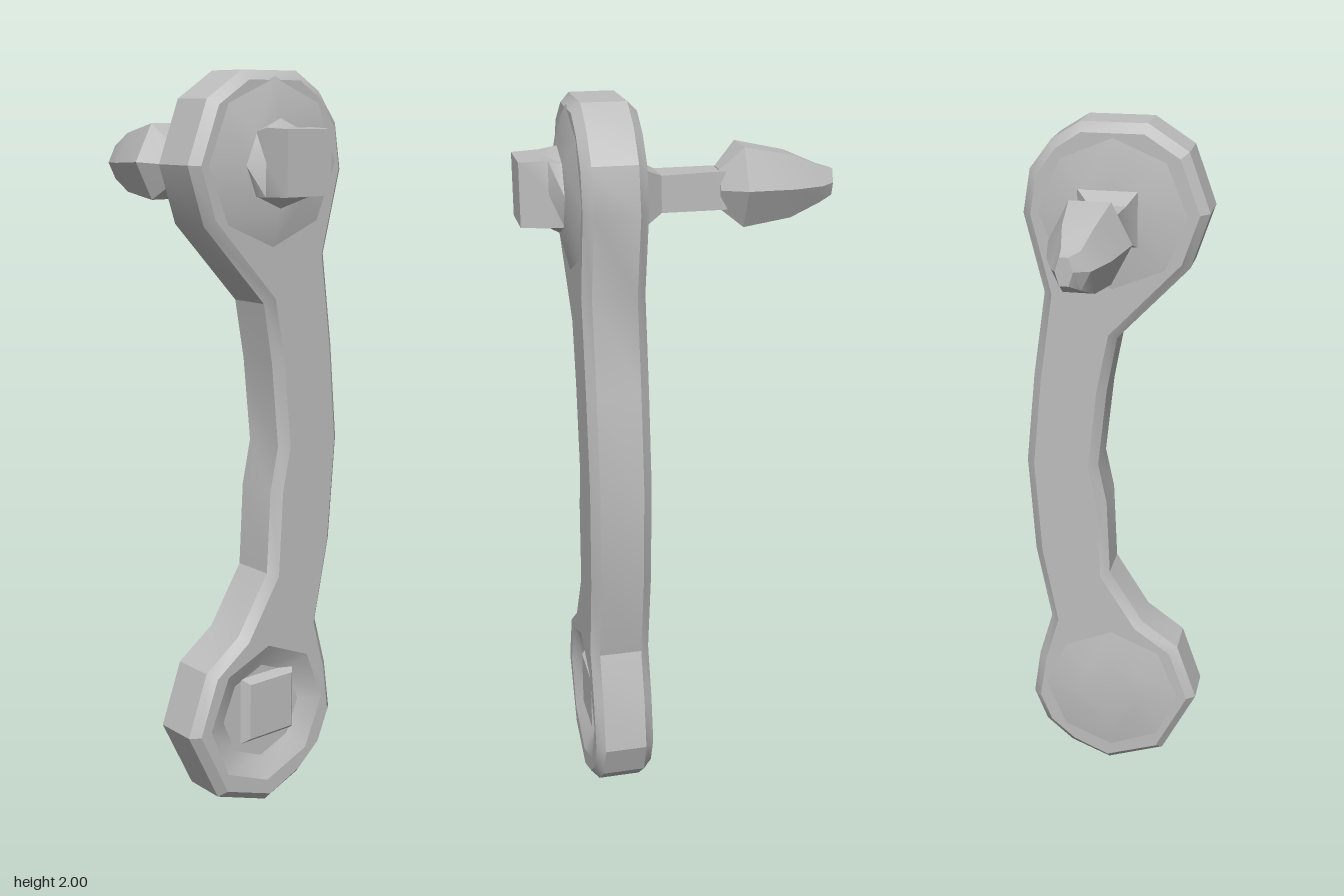
import * as THREE from 'three';
import { toCreasedNormals } from 'three/addons/utils/BufferGeometryUtils.js';

const grey = new THREE.MeshStandardMaterial({ color: 0xbdbdbd });
grey.name = 'grey metal';

// Arm silhouette, counter-clockwise seen from the front
const OUTLINE = [
  [0.01, 0], [0.13, 0.05], [0.21, 0.12], [0.25, 0.22], [0.23, 0.36], [0.19, 0.5], [0.235, 0.73],
  [0.255, 1.02], [0.23, 1.28], [0.195, 1.53], [0.25, 1.75], [0.23, 1.87], [0.17, 1.95], [0.09, 2],
  [-0.09, 2], [-0.2, 1.93], [-0.26, 1.77], [-0.21, 1.62], [-0.01, 1.41], [0.02, 1.25], [0.045, 1.02],
  [0.02, 0.9], [0.01, 0.67], [-0.09, 0.51], [-0.2, 0.43], [-0.26, 0.26], [-0.16, 0.06],
];

// The silhouette moved inwards and placed at depth z
function armRing(z, inset) {
  const n = OUTLINE.length;
  return OUTLINE.map(([x, y], i) => {
    const p = OUTLINE[(i + n - 1) % n], q = OUTLINE[(i + 1) % n];
    const dx = q[0] - p[0], dy = q[1] - p[1], l = Math.hypot(dx, dy);
    return new THREE.Vector3(x - (dy / l) * inset, y + (dx / l) * inset, z);
  });
}

// Ring about (cx, cy); square = true pushes its eight points onto a square
function ring(cx, cy, z, rx, ry = rx, square = false, sides = 8) {
  return Array.from({ length: sides }, (_, i) => {
    const a = (i / sides) * Math.PI * 2, c = Math.cos(a), s = Math.sin(a);
    const k = square ? 1 / Math.max(Math.abs(c), Math.abs(s)) : 1;
    return new THREE.Vector3(cx + rx * c * k, cy + ry * s * k, z);
  });
}

// Skin between successive rings, with optional caps and a hole in the front cap
function loft(name, rings, { back = false, front = false, hole = null } = {}) {
  const tris = [];
  for (let j = 0; j + 1 < rings.length; j++) {
    const a = rings[j], b = rings[j + 1], n = a.length;
    for (let i = 0; i < n; i++) {
      const k = (i + 1) % n;
      tris.push(a[i], a[k], b[k], a[i], b[k], b[i]);
    }
  }
  const cap = (pts, flip, inner) => {
    const holes = inner ? [inner.slice().reverse()] : [];
    const all = pts.concat(...holes);
    for (const [a, b, c] of THREE.ShapeUtils.triangulateShape(pts.slice(), holes)) {
      const area = (all[b].x - all[a].x) * (all[c].y - all[a].y) - (all[b].y - all[a].y) * (all[c].x - all[a].x);
      if ((area > 0) !== flip) tris.push(all[a], all[b], all[c]);
      else tris.push(all[a], all[c], all[b]);
    }
  };
  if (back) cap(rings[0], true);
  if (front) cap(rings[rings.length - 1], false, hole);
  const geo = new THREE.BufferGeometry().setFromPoints(tris);
  const mesh = new THREE.Mesh(toCreasedNormals(geo, 0.45), grey);
  mesh.name = name;
  return mesh;
}

export function createModel() {
  const group = new THREE.Group();
  group.name = 'crankHandle';
  const topY = 1.77, lowY = 0.27;

  // Curved arm with chamfered edges and an opening for the lower dish
  const rim = ring(0, lowY, 0.285, 0.2, 0.2);
  group.add(loft('arm',
    [armRing(0.12, 0.025), armRing(0.145, 0), armRing(0.262, 0), armRing(0.285, 0.025)],
    { back: true, front: true, hole: rim }));

  // Shallow dish holding a low square stub
  group.add(loft('lowerDish', [rim, ring(0, lowY, 0.255, 0.135)], { front: true }));
  group.add(loft('lowerStub',
    [ring(0.02, 0.285, 0.25, 0.1, 0.1, true), ring(0.02, 0.285, 0.275, 0.075, 0.08, true)], { front: true }));

  // Gently domed hub and square peg on the front of the upper end
  group.add(loft('upperHub', [ring(0, topY, 0.284, 0.215), ring(0, topY, 0.31, 0.115)], { front: true }));
  group.add(loft('squarePeg',
    [ring(0, topY, 0.308, 0.113), ring(0, 1.775, 0.345, 0.078, 0.085, true), ring(0, 1.775, 0.418, 0.072, 0.082, true)],
    { front: true }));

  // Raised pads on the back face
  for (const [name, y] of [['upperBackPad', 1.76], ['lowerBackPad', lowY]]) {
    group.add(loft(name, [ring(0, y, 0.104, 0.1), ring(0, y, 0.121, 0.21)], { back: true }));
  }

  // Grip shaft flaring into the arm
  group.add(loft('gripShaft', [
    ring(0, 1.755, -0.13, 0.042, 0.05, true),
    ring(0, 1.755, -0.08, 0.042, 0.05, true),
    ring(0, 1.755, 0.05, 0.05, 0.048, true),
    ring(0.01, 1.755, 0.106, 0.082, 0.075, true),
  ]));

  // Faceted knob, tapering to the back
  group.add(loft('gripKnob', [
    ring(0.01, 1.76, -0.418, 0.022, 0.04, false, 6),
    ring(0, 1.755, -0.385, 0.048, 0.055, false, 6),
    ring(0, 1.757, -0.3, 0.08, 0.095, false, 6),
    ring(0, 1.763, -0.168, 0.107, 0.12, false, 6),
    ring(0, 1.757, -0.108, 0.05, 0.058, false, 6),
  ], { back: true, front: true }));

  return group;
}
